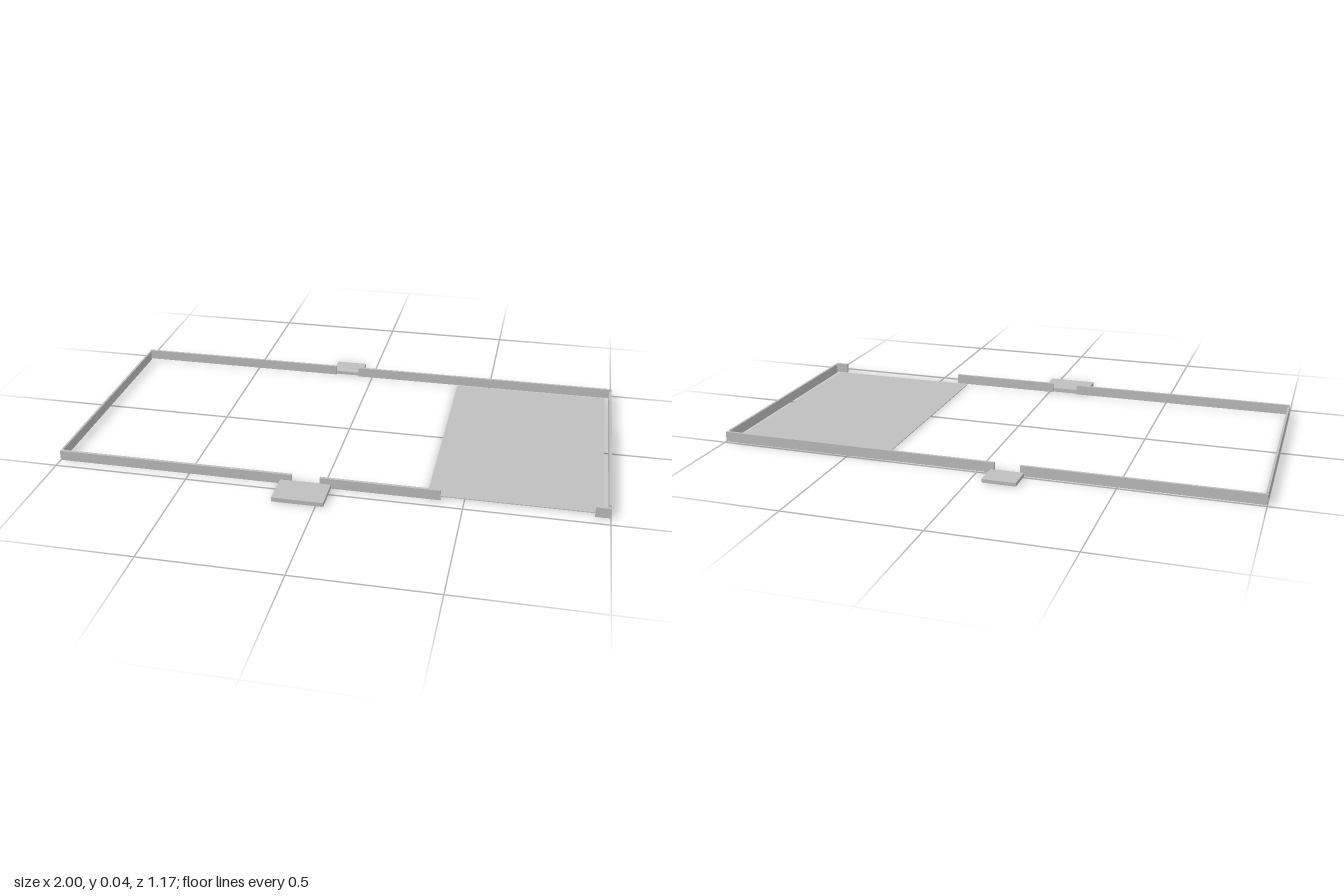
import * as THREE from 'three';

const WALL_HEIGHT = 0.038;

export function createModel() {
  const group = new THREE.Group();
  const grey = new THREE.MeshStandardMaterial({ color: 0xbfbfbf });
  grey.name = 'plain grey';

  // Block standing on the ground, given by its x range, z range and height
  const addBlock = (name, [x0, x1], [z0, z1], height) => {
    const mesh = new THREE.Mesh(new THREE.BoxGeometry(x1 - x0, height, z1 - z0), grey);
    mesh.name = name;
    mesh.position.set((x0 + x1) / 2, height / 2, (z0 + z1) / 2);
    group.add(mesh);
  };

  // Front wall, broken by a doorway and a wide opening
  const frontZ = [0.447, 0.458];
  [[-1, -0.117], [-0.014, 0.417], [0.947, 1]].forEach((x, i) =>
    addBlock(`frontWall${i + 1}`, x, frontZ, WALL_HEIGHT));

  // Back wall, broken by a doorway
  const backZ = [-0.489, -0.479];
  [[-1, -0.156], [-0.06, 1]].forEach((x, i) =>
    addBlock(`backWall${i + 1}`, x, backZ, WALL_HEIGHT));

  // Side walls, stopping just short of the corners
  const sideZ = [-0.466, 0.434];
  addBlock('rightWall', [-1, -0.992], sideZ, WALL_HEIGHT);
  addBlock('leftWall', [0.991, 1], sideZ, WALL_HEIGHT);

  // Thin floor slab at the wide opening
  addBlock('floorSlab', [0.368, 0.975], sideZ, 0.003);

  // Doorsteps
  addBlock('frontStep', [-0.159, 0.027], [0.456, 0.584], 0.016);
  addBlock('backStep', [-0.17, -0.047], [-0.584, -0.488], 0.013);

  return group;
}
